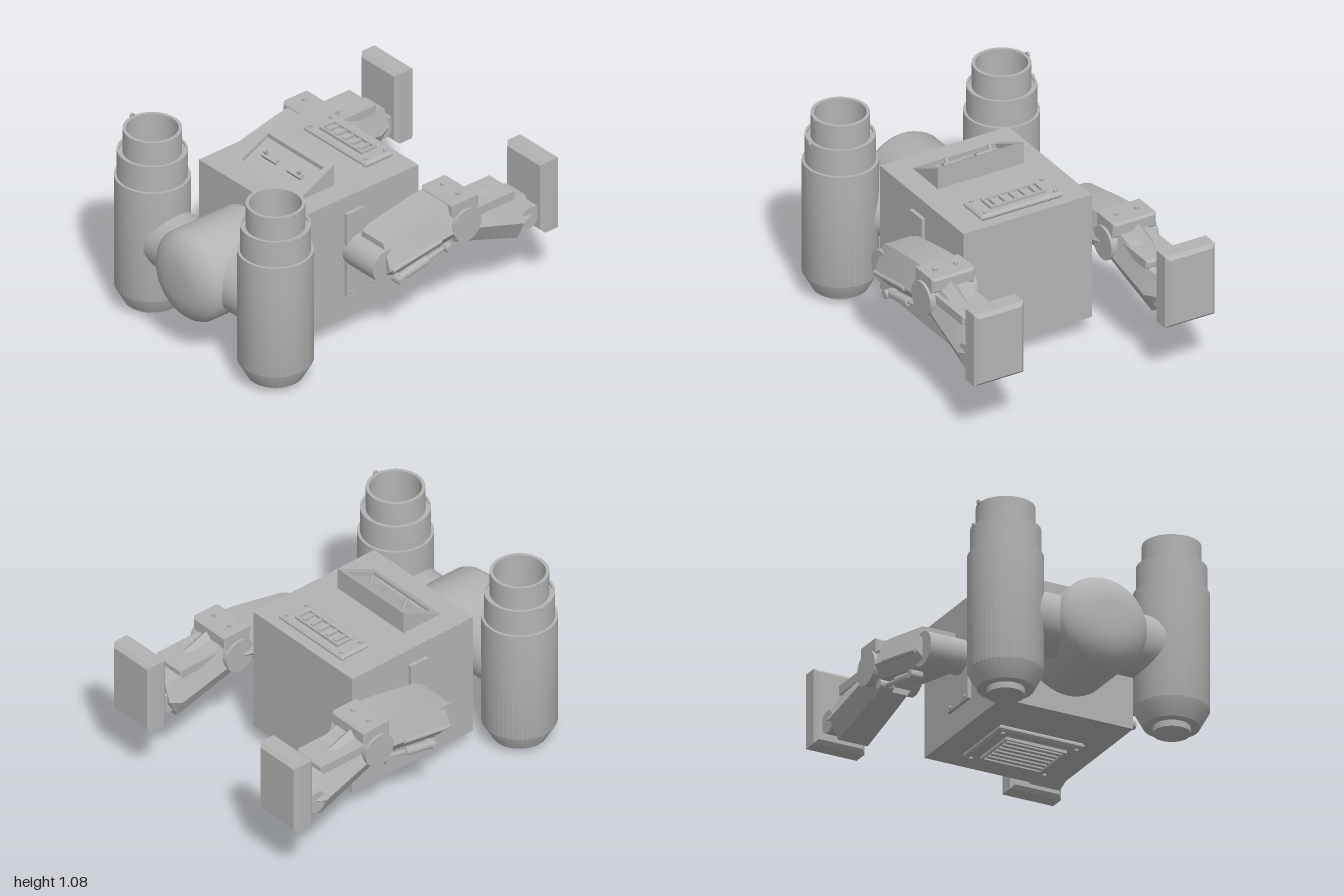
import * as THREE from 'three';
import { toCreasedNormals } from 'three/addons/utils/BufferGeometryUtils.js';

const grey = new THREE.MeshStandardMaterial({ color: 0xb3b3b3 });
grey.name = 'grey';

function add(parent, name, geo, x = 0, y = 0, z = 0) {
  const m = new THREE.Mesh(toCreasedNormals(geo, 0.5), grey);
  m.name = name;
  m.position.set(x, y, z);
  parent.add(m);
  return m;
}
const box = (w, h, d) => new THREE.BoxGeometry(w, h, d);
const cyl = (r, h, n = 24) => new THREE.CylinderGeometry(r, r, h, n);
const cylX = (r, h, n = 32) => cyl(r, h, n).rotateZ(Math.PI / 2);
const lathe = (pts, n = 48) => new THREE.LatheGeometry(pts.map(p => new THREE.Vector2(...p)), n);

function rect(S, w, h) {
  return new S([[-1, -1], [1, -1], [1, 1], [-1, 1]].map(([a, b]) => new THREE.Vector2(a * w / 2, b * h / 2)));
}
// Flat rectangular frame in the xz plane, rising from y = 0
function frame(w, d, iw, id, t) {
  const s = rect(THREE.Shape, w, d);
  s.holes.push(rect(THREE.Path, iw, id));
  return new THREE.ExtrudeGeometry(s, { depth: t, bevelEnabled: false }).rotateX(-Math.PI / 2);
}
// Box with bevelled edges, centred
function bevelBox(w, h, d, b) {
  const s = rect(THREE.Shape, w - 2 * b, h - 2 * b);
  return new THREE.ExtrudeGeometry(s, { depth: d - 2 * b, bevelSize: b, bevelThickness: b, bevelSegments: 1 })
    .translate(0, 0, -d / 2 + b);
}
// Side outline given as [z, y], extruded across x
function sideShape(pts, x0, x1) {
  const s = new THREE.Shape(pts.map(([z, y]) => new THREE.Vector2(-z, y)));
  return new THREE.ExtrudeGeometry(s, { depth: x1 - x0, bevelEnabled: false })
    .rotateY(Math.PI / 2).translate(x0, 0, 0);
}
// Six-sided limb; each ring is [z, top, middle, bottom, inner x, outer x]
function limb(rings) {
  const loops = rings.map(([z, t, m, b, i, o]) => [
    [i + 0.04, t, z], [o - 0.06, t, z], [o, m, z], [o - 0.05, b, z], [i + 0.05, b, z], [i, m, z]]);
  const v = [];
  for (let r = 0; r < loops.length - 1; r++) {
    for (let k = 0; k < 6; k++) {
      const a = loops[r][k], b = loops[r][(k + 1) % 6];
      const c = loops[r + 1][(k + 1) % 6], d = loops[r + 1][k];
      v.push(...a, ...b, ...c, ...a, ...c, ...d);
    }
  }
  const p = loops[0], q = loops[loops.length - 1];
  for (let k = 1; k < 5; k++) {
    v.push(...p[0], ...p[k + 1], ...p[k], ...q[0], ...q[k], ...q[k + 1]);
  }
  const g = new THREE.BufferGeometry();
  g.setAttribute('position', new THREE.Float32BufferAttribute(v, 3));
  g.computeVertexNormals();
  return g;
}
// Rod between two [x, y, z] points
function rod(parent, name, a, b, r) {
  const A = new THREE.Vector3(...a), B = new THREE.Vector3(...b);
  const dir = B.clone().sub(A);
  const m = add(parent, name, cyl(r, dir.length(), 14));
  m.position.copy(A).add(B).multiplyScalar(0.5);
  m.quaternion.setFromUnitVectors(new THREE.Vector3(0, 1, 0), dir.normalize());
}
// Bevelled vent plate with a raised frame, bars and corner screws, rising from y = 0
function vent(name, w, d, iw, id, plateTop, top, bars, alongX) {
  const g = new THREE.Group();
  g.name = name;
  add(g, 'ventPlate', bevelBox(w, d, plateTop, 0.012).rotateX(-Math.PI / 2), 0, plateTop / 2, 0);
  add(g, 'ventFrame', frame(iw, id, iw - 0.025, id - 0.025, top - plateTop), 0, plateTop, 0);
  for (let i = 0; i < bars; i++) {
    const t = (i + 0.5) / bars - 0.5, h = top - plateTop;
    if (alongX) add(g, 'ventBar', box(iw - 0.04, h, id / bars * 0.5), 0, plateTop + h / 2, t * (id - 0.04));
    else add(g, 'ventBar', box(0.02, h, id - 0.035), t * (iw - 0.03), plateTop + h / 2, 0);
  }
  for (const sx of [-1, 1]) for (const sz of [-1, 1])
    add(g, 'screw', cyl(0.011, 0.014, 12), sx * (w / 2 - 0.033), plateTop + 0.004, sz * (d / 2 - 0.026));
  return g;
}

function controlPanel() {
  const g = new THREE.Group();
  g.name = 'controlPanel';
  const slope = 0.49, z0 = 0.4, y0 = 0.83, t = 0.025;
  add(g, 'panelWedge', sideShape([[z0 - t / slope, y0], [0.145, y0 + slope * 0.255 - t], [0.145, y0]].reverse(), -0.26, 0.26));
  // Rim sheared to follow the slope
  const rim = frame(0.52, 0.255, 0.445, 0.18, t).translate(0, y0 - t, 0.2725);
  const p = rim.attributes.position;
  for (let i = 0; i < p.count; i++) p.setY(i, p.getY(i) + slope * (z0 - p.getZ(i)));
  rim.deleteAttribute('normal');
  rim.computeVertexNormals();
  add(g, 'panelRim', rim);
  for (const s of [-1, 1]) {
    const y = y0 - t + slope * (z0 - 0.27);
    add(g, 'slider', box(0.11, 0.02, 0.03).rotateX(Math.atan(slope)), s * 0.1, y + 0.01, 0.272);
    add(g, 'sliderKnob', cyl(0.012, 0.05, 12).rotateX(Math.atan(slope)), s * 0.132, y + 0.025, 0.27);
  }
  return g;
}

// Upright telescoping tube with open top
function tube() {
  const g = new THREE.Group();
  g.name = 'tube';
  g.position.set(0.49, 0, 0.742);
  add(g, 'tubeShell', lathe([[0, 0.035], [0.148, 0.035], [0.2, 0.13], [0.2, 0.79], [0.185, 0.79], [0.185, 0.942],
    [0.172, 0.942], [0.172, 0.932], [0.155, 0.932], [0.155, 1.07], [0.137, 1.07], [0.137, 0.72], [0, 0.72]]));
  add(g, 'tubeFoot', cyl(0.1, 0.045, 36), 0, 0.0225, 0);
  add(g, 'upperStud', cylX(0.014, 0.014, 12), 0.158, 1.07, 0);
  add(g, 'lowerStud', cylX(0.012, 0.014, 12), 0.188, 0.932, 0);
  return g;
}

function arm() {
  const g = new THREE.Group();
  g.name = 'arm';
  // Mounting plate on the body side
  add(g, 'mountPlate', sideShape([[0.185, 0.235], [-0.04, 0.235], [-0.04, 0.43], [0.065, 0.43],
    [0.065, 0.735], [0.185, 0.735]], 0.385, 0.41));
  for (const z of [0.15, -0.008]) add(g, 'mountScrew', cylX(0.011, 0.014, 12), 0.412, 0.255, z);
  add(g, 'shoulder', cylX(0.095, 0.245), 0.5125, 0.497, 0.103);
  // Upper arm with its edge strip and piston
  add(g, 'upperArm', limb([[0.11, 0.625, 0.48, 0.43, 0.405, 0.67], [0.06, 0.645, 0.49, 0.415, 0.395, 0.675],
    [-0.22, 0.695, 0.545, 0.475, 0.39, 0.69], [-0.31, 0.705, 0.56, 0.495, 0.39, 0.695],
    [-0.37, 0.64, 0.57, 0.51, 0.4, 0.695]]));
  rod(g, 'armStrip', [0.672, 0.48, 0.1], [0.688, 0.545, -0.22], 0.012);
  rod(g, 'piston', [0.63, 0.385, 0.02], [0.63, 0.425, -0.17], 0.024);
  rod(g, 'pistonRod', [0.63, 0.42, -0.15], [0.63, 0.455, -0.31], 0.013);
  add(g, 'pistonFrontPin', cylX(0.024, 0.07, 16), 0.63, 0.382, 0.02);
  add(g, 'pistonRearPin', cylX(0.027, 0.08, 16), 0.63, 0.453, -0.305);
  // Elbow
  add(g, 'elbow', cylX(0.095, 0.29), 0.55, 0.575, -0.395);
  add(g, 'elbowCap', bevelBox(0.26, 0.085, 0.18, 0.012), 0.55, 0.678, -0.397);
  for (const s of [-1, 1]) add(g, 'elbowRivet', cyl(0.012, 0.02, 12), 0.55 + s * 0.062, 0.723, -0.4);
  // Forearm
  add(g, 'forearm', limb([[-0.36, 0.63, 0.53, 0.455, 0.42, 0.675], [-0.48, 0.655, 0.52, 0.42, 0.42, 0.685],
    [-0.77, 0.575, 0.44, 0.33, 0.43, 0.705], [-0.84, 0.555, 0.46, 0.42, 0.45, 0.69]]));
  add(g, 'forearmPlate', bevelBox(0.205, 0.05, 0.3, 0.012), 0.557, 0.6, -0.61);
  add(g, 'forearmFin', new THREE.ConeGeometry(0.07, 0.2, 4).rotateX(-Math.PI / 2), 0.57, 0.625, -0.565);
  // Wrist and foot pad
  add(g, 'wrist', cylX(0.062, 0.22), 0.58, 0.445, -0.822);
  add(g, 'wristNeck', box(0.21, 0.085, 0.09), 0.58, 0.455, -0.855);
  add(g, 'footPad', bevelBox(0.3, 0.425, 0.125, 0.02), 0.58, 0.557, -0.9375);
  return g;
}

export function createModel() {
  const model = new THREE.Group();
  model.name = 'machine';
  add(model, 'body', box(0.78, 0.73, 0.83), 0, 0.465, 0.095);

  // Domed drum on the front and its cross axle
  add(model, 'frontDrum', lathe([[0.255, 0.5], [0.255, 0.9], [0.244, 0.925], [0.218, 0.952], [0.18, 0.977],
    [0.14, 0.992], [0.1, 1], [0, 1]]).rotateX(Math.PI / 2), 0, 0.46, 0);
  add(model, 'crossAxle', cylX(0.167, 0.8, 48), 0, 0.46, 0.737);

  model.add(controlPanel());
  const topVent = vent('topVent', 0.495, 0.185, 0.335, 0.105, 0.035, 0.05, 5, false);
  topVent.position.set(0, 0.83, -0.175);
  const bottomVent = vent('bottomVent', 0.5, 0.4, 0.36, 0.28, 0.035, 0.052, 6, true);
  bottomVent.position.set(0, 0.1, 0.04);
  bottomVent.rotation.z = Math.PI;
  model.add(topVent, bottomVent);

  // Mirrored tubes and arms
  for (const s of [1, -1]) {
    const side = new THREE.Group();
    side.name = s > 0 ? 'leftSide' : 'rightSide';
    side.add(tube(), arm());
    side.scale.x = s;
    model.add(side);
  }
  return model;
}
